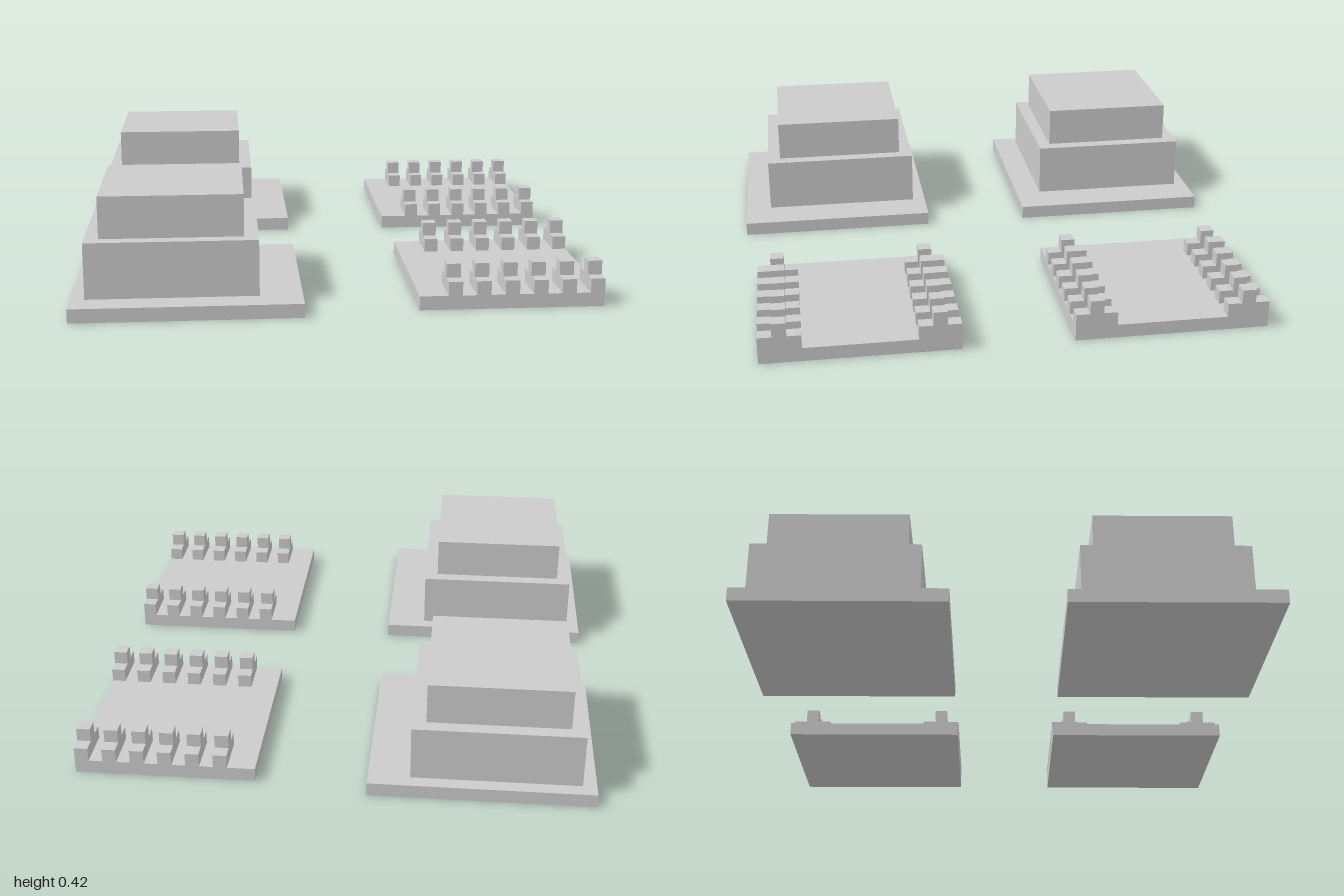
import * as THREE from 'three';

const U = 2 / 38; // everything sits on a square module of this size
const material = new THREE.MeshStandardMaterial({ color: 0xcccccc, flatShading: true });

// Box given by its minimum corner and size, in modules
function block(name, [x, y, z], [w, h, d]) {
  const mesh = new THREE.Mesh(new THREE.BoxGeometry(w * U, h * U, d * U), material);
  mesh.position.set((x + w / 2) * U, (y + h / 2) * U, (z + d / 2) * U);
  mesh.name = name;
  return mesh;
}

// Stepped tooth: one module thick along x, three modules deep, centred on x and z
function makeToothGeometry() {
  const profile = [[-1.5, 0], [1.5, 0], [1.5, 1], [0.5, 1], [0.5, 2], [-0.5, 2], [-0.5, 1], [-1.5, 1]];
  const shape = new THREE.Shape(profile.map(([z, y]) => new THREE.Vector2(z * U, y * U)));
  return new THREE.ExtrudeGeometry(shape, { depth: U, bevelEnabled: false })
    .translate(0, 0, -U / 2)
    .rotateY(-Math.PI / 2);
}

// Square two-tier block on a wide base plate
function makeSteppedBlock(baseZ, tierZ) {
  const group = new THREE.Group();
  group.name = 'steppedBlock';
  group.add(
    block('basePlate', [-18.5, 0, baseZ], [16, 1, 15]),
    block('lowerTier', [-17.5, 1, tierZ], [12, 4, 12]),
    block('upperTier', [-16.5, 5, tierZ + 1], [10, 3, 10]),
  );
  return group;
}

// Flat plate with a row of six teeth along its front and back edges
function makeToothedPlate(z, toothGeometry) {
  const group = new THREE.Group();
  group.name = 'toothedPlate';
  group.add(block('plate', [5.5, 0, z], [13, 1, 14]));
  for (const rowZ of [z + 1.5, z + 12.5]) {
    for (let i = 0; i < 6; i++) {
      const tooth = new THREE.Mesh(toothGeometry, material);
      tooth.name = 'tooth';
      tooth.position.set((8 + 2 * i) * U, U, rowZ * U);
      group.add(tooth);
    }
  }
  return group;
}

export function createModel() {
  const model = new THREE.Group();
  model.name = 'blockSet';
  const toothGeometry = makeToothGeometry();
  model.add(
    makeSteppedBlock(-19, -18),
    makeSteppedBlock(4, 5),
    makeToothedPlate(-18, toothGeometry),
    makeToothedPlate(4, toothGeometry),
  );
  return model;
}
